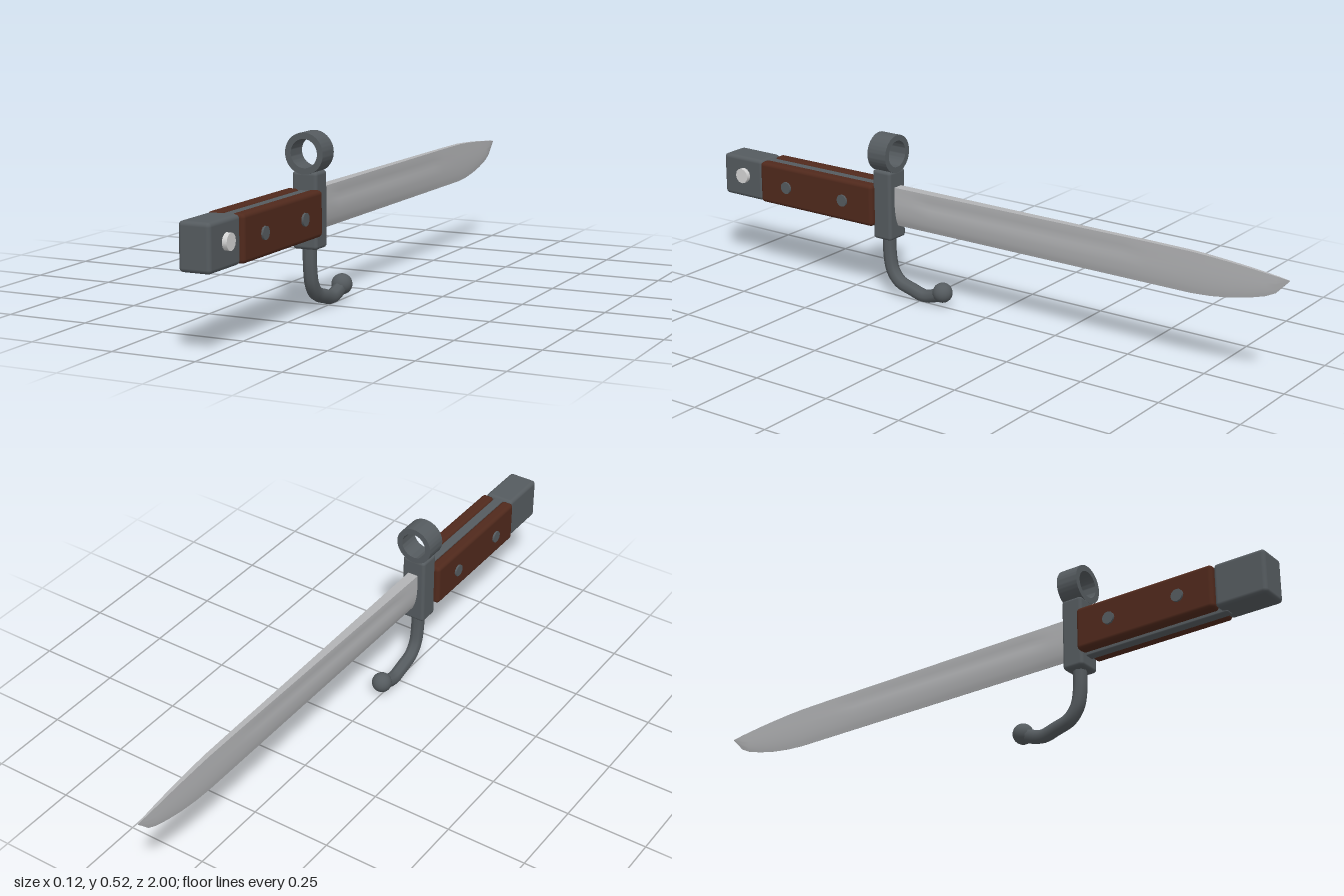
import * as THREE from 'three';
import { toCreasedNormals } from 'three/addons/utils/BufferGeometryUtils.js';
import { RoundedBoxGeometry } from 'three/addons/geometries/RoundedBoxGeometry.js';

const material = (name, color) => {
  const m = new THREE.MeshStandardMaterial({ color });
  m.name = name;
  return m;
};

// Blade lofted from wedge sections: flat spine on top, shallow fuller, edge below
function bladeGeometry() {
  // z, edge y, spine y, half thickness, fuller depth
  const stations = [
    [0.36, 0.23, 0.355, 0.017, 0], [0.27, 0.23, 0.355, 0.016, 0], [0.2, 0.23, 0.355, 0.0155, 0.2],
    [-0.15, 0.23, 0.355, 0.012, 0.2], [-0.48, 0.23, 0.355, 0.009, 0.2], [-0.56, 0.23, 0.355, 0.0085, 0],
    [-0.7, 0.23, 0.354, 0.0075, 0], [-0.76, 0.234, 0.351, 0.007, 0], [-0.82, 0.242, 0.347, 0.006, 0],
    [-0.88, 0.255, 0.342, 0.005, 0], [-0.93, 0.27, 0.337, 0.004, 0], [-0.96, 0.285, 0.334, 0.003, 0],
    [-1, 0.327, 0.329, 0.001, 0],
  ];
  // height fraction, width fraction, share of fuller depth
  const half = [[0, 0.05, 0], [0.08, 0.32, 0], [0.2, 0.62, 0], [0.35, 0.83, 0], [0.5, 0.95, 0],
    [0.6, 0.98, 0.7], [0.7, 1, 1], [0.8, 1, 0.7], [0.9, 1, 0], [1, 1, 0]];
  const ring = [...half.map((p) => [...p, 1]), ...half.slice().reverse().map((p) => [...p, -1])];
  const n = ring.length, positions = [], index = [];
  for (const [z, y0, y1, w, depth] of stations)
    for (const [t, f, g, side] of ring)
      positions.push(side * w * (f - g * depth), y0 + (y1 - y0) * t, z);
  for (let i = 0; i < stations.length - 1; i++)
    for (let j = 0; j < n; j++) {
      const a = i * n + j, b = i * n + (j + 1) % n, c = b + n, d = a + n;
      index.push(a, d, b, b, d, c);
    }
  const g = new THREE.BufferGeometry();
  g.setAttribute('position', new THREE.Float32BufferAttribute(positions, 3));
  g.setIndex(index);
  return toCreasedNormals(g, 0.7);
}

export function createModel() {
  const root = new THREE.Group();
  root.name = 'bayonet';
  const steel = material('dark steel', 0x555b5f);
  const bladeSteel = material('blade steel', 0xb2b3b5);
  const wood = material('brown wood', 0x50291c);
  const bright = material('bright metal', 0xd4d4d4);

  const add = (name, geometry, mat, x = 0, y = 0, z = 0) => {
    const mesh = new THREE.Mesh(geometry, mat);
    mesh.name = name;
    mesh.position.set(x, y, z);
    root.add(mesh);
    return mesh;
  };
  const box = (w, h, d, r) => new RoundedBoxGeometry(w, h, d, 3, r);

  add('blade', bladeGeometry(), bladeSteel);

  // Handle: pommel, tang, wooden grips and rivets
  add('pommel', box(0.094, 0.133, 0.16, 0.012), steel, 0, 0.293, 0.92);
  add('tang', box(0.03, 0.133, 0.48, 0.004), steel, 0, 0.2885, 0.62);
  for (const side of [1, -1]) {
    const label = side > 0 ? 'left' : 'right';
    add(label + 'Grip', box(0.04, 0.132, 0.45, 0.012), wood, side * 0.036, 0.293, 0.615);
    for (const z of [0.503, 0.73]) {
      const rivet = add(label + 'Rivet', new THREE.CylinderGeometry(0.019, 0.019, 0.03, 12), steel, side * 0.047, 0.293, z);
      rivet.rotation.z = Math.PI / 2;
    }
  }

  // Press button on one side of the pommel
  const button = add('pressButton', new THREE.CylinderGeometry(0.024, 0.024, 0.03, 12), bright, 0.046, 0.3, 0.915);
  button.rotation.z = Math.PI / 2;

  // Crossguard with muzzle ring
  add('crossguard', box(0.078, 0.22, 0.068, 0.01), steel, 0, 0.297, 0.364);
  const shape = new THREE.Shape().absarc(0, 0, 0.059, 0, Math.PI * 2);
  shape.holes.push(new THREE.Path().absarc(0, 0, 0.041, 0, Math.PI * 2, true));
  const ring = new THREE.ExtrudeGeometry(shape, { depth: 0.068, bevelEnabled: false, curveSegments: 32 });
  add('muzzleRing', toCreasedNormals(ring, 0.6), steel, 0, 0.458, 0.33);

  // Hooked quillon ending in a ball
  const path = new THREE.CatmullRomCurve3([
    [0.21, 0.364], [0.13, 0.363], [0.08, 0.352], [0.048, 0.325], [0.033, 0.28], [0.021, 0.23], [0.031, 0.19], [0.046, 0.16],
  ].map(([y, z]) => new THREE.Vector3(0, y, z)));
  add('hook', new THREE.TubeGeometry(path, 32, 0.021, 8), steel);
  add('hookBall', new THREE.SphereGeometry(0.031, 20, 14), steel, 0, 0.046, 0.162);

  return root;
}
